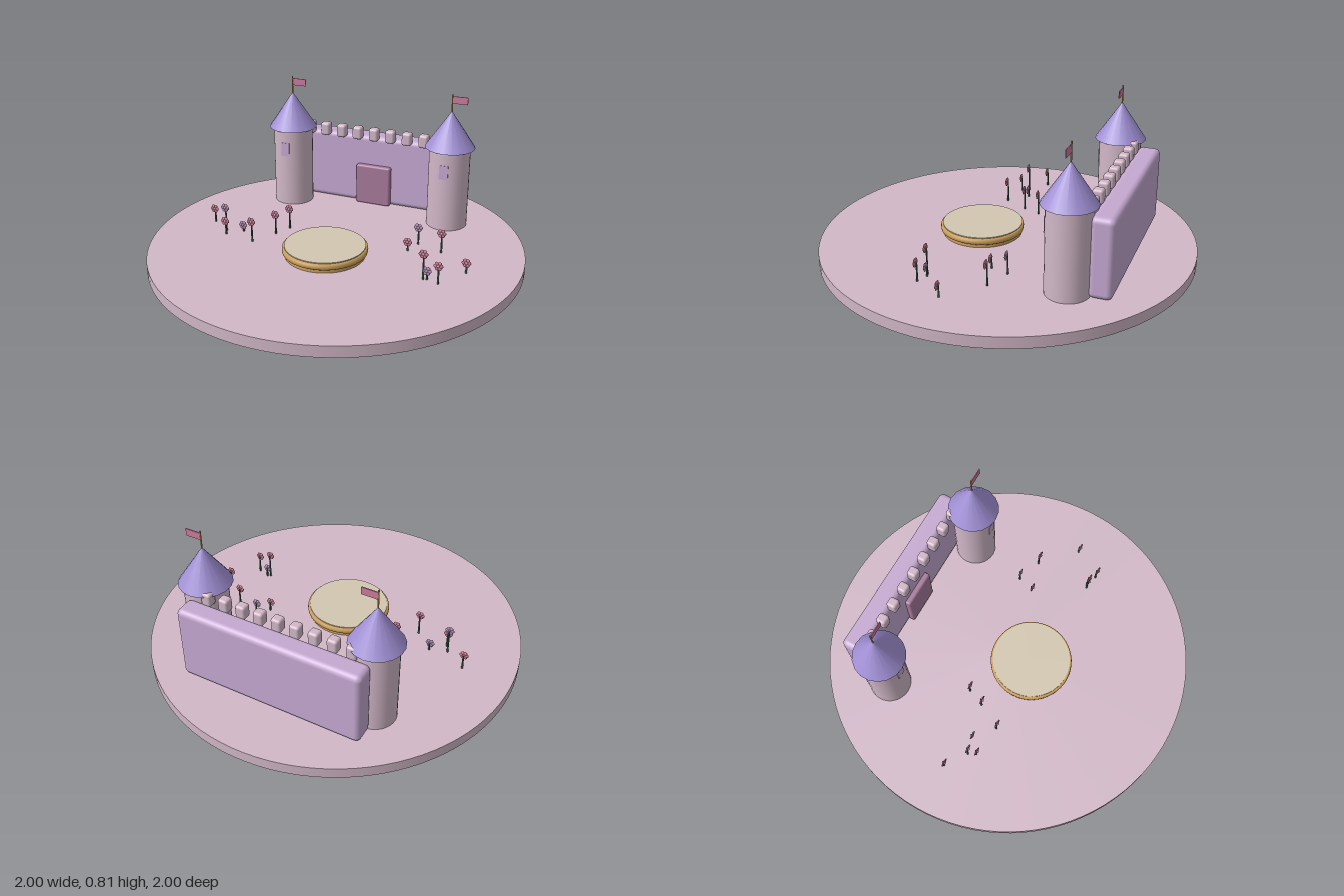
import * as THREE from 'three';
import { RoundedBoxGeometry } from 'three/addons/geometries/RoundedBoxGeometry.js';

const colour = (name, hex) => {
  const m = new THREE.MeshStandardMaterial({ color: hex });
  m.name = name;
  return m;
};

export function createModel() {
  const model = new THREE.Group();
  model.name = 'castleGarden';

  const stone = colour('pink stone', 0xd2b8c8);
  const lilac = colour('lilac wall', 0xc6a9d2);
  const violet = colour('violet roof', 0xa08fd4);
  const plum = colour('plum door', 0xa87a9c);
  const rose = colour('rose flag', 0xcc7a9e);
  const gold = colour('gold', 0xcfa25e);
  const cream = colour('cream', 0xd2c7b0);
  const green = colour('stem green', 0x3c6650);
  const pink = colour('pink petal', 0xd87f98);
  const mauve = colour('mauve petal', 0xb79ac0);

  const add = (parent, name, geometry, material, x = 0, y = 0, z = 0) => {
    const mesh = new THREE.Mesh(geometry, material);
    mesh.name = name;
    mesh.position.set(x, y, z);
    parent.add(mesh);
    return mesh;
  };
  const cylinder = (r, h, sides = 24) => new THREE.CylinderGeometry(r, r, h, sides);

  // Round ground
  const ground = 0.06;
  add(model, 'groundDisc', cylinder(1, ground, 96), stone, 0, ground / 2, 0);

  // Wall, battlements and door
  add(model, 'castleWall', new RoundedBoxGeometry(1.01, 0.415, 0.12, 4, 0.03), lilac, 0, 0.2675, -0.641);
  const merlonShape = new RoundedBoxGeometry(0.055, 0.075, 0.055, 3, 0.014);
  for (let i = -4; i <= 4; i++) add(model, 'merlon', merlonShape, stone, i * 0.1, 0.496, -0.567);
  add(model, 'door', new RoundedBoxGeometry(0.21, 0.24, 0.04, 3, 0.012), plum, 0, 0.182, -0.57);

  // Twin towers with roofs, windows and flags
  for (const side of [-1, 1]) {
    const tower = new THREE.Group();
    tower.name = side > 0 ? 'leftTower' : 'rightTower';
    tower.position.set(side * 0.475, 0, -0.48);
    model.add(tower);
    add(tower, 'towerBody', cylinder(0.113, 0.46, 32), stone, 0, 0.29, 0);
    add(tower, 'towerRoof', new THREE.ConeGeometry(0.138, 0.205, 18), violet, 0, 0.6175, 0);
    add(tower, 'window', new THREE.BoxGeometry(0.05, 0.08, 0.009), lilac, 0, 0.402, 0.1095);
    add(tower, 'flagPole', cylinder(0.004, 0.13, 8), gold, 0, 0.748, 0);
    add(tower, 'flag', new THREE.BoxGeometry(0.082, 0.04, 0.005), rose, 0.044, 0.782, 0);
  }

  // Round stage
  const stage = new THREE.Group();
  stage.name = 'stage';
  stage.position.set(0, 0, 0.147);
  model.add(stage);
  add(stage, 'stageFoot', cylinder(0.212, 0.03, 48), gold, 0, 0.073, 0);
  const rim = [[0, 0.078], [0.216, 0.078], [0.224, 0.083], [0.226, 0.095], [0.224, 0.107], [0.216, 0.113], [0, 0.113]];
  add(stage, 'stageRim', new THREE.LatheGeometry(rim.map(([r, y]) => new THREE.Vector2(r, y)), 48), gold);
  add(stage, 'stageTop', cylinder(0.214, 0.012, 48), cream, 0, 0.112, 0);

  // Flowers facing the front: x, head height, z, petal material
  const flowers = [
    [-0.733, 0.143, 0.02, pink], [-0.618, 0.2, 0.1, mauve], [-0.598, 0.14, 0.14, pink],
    [-0.526, 0.1, 0.07, mauve], [-0.423, 0.178, 0.165, pink], [-0.348, 0.176, 0.03, pink],
    [-0.308, 0.178, -0.065, pink], [0.386, 0.113, -0.055, pink], [0.414, 0.16, -0.15, mauve],
    [0.556, 0.174, -0.1, pink], [0.555, 0.202, 0.215, pink], [0.573, 0.11, 0.208, mauve],
    [0.636, 0.16, 0.23, pink], [0.735, 0.12, 0.07, pink],
  ];
  const petalShape = new THREE.SphereGeometry(0.0105, 10, 8).scale(1, 1, 0.45);
  const centreShape = new THREE.SphereGeometry(0.008, 10, 8);
  for (const [x, y, z, material] of flowers) {
    const flower = new THREE.Group();
    flower.name = 'flower';
    flower.position.set(x, 0, z);
    model.add(flower);
    const h = y - ground;
    add(flower, 'stem', new THREE.CylinderGeometry(0.004, 0.0055, h, 8), green, 0, ground + h / 2, -0.004);
    for (let i = 0; i < 6; i++) {
      const a = (i * Math.PI) / 3;
      add(flower, 'petal', petalShape, material, 0.0145 * Math.cos(a), y + 0.0145 * Math.sin(a), 0.003);
    }
    add(flower, 'flowerCentre', centreShape, material === pink ? mauve : pink, 0, y, 0.006);
  }
  return model;
}
